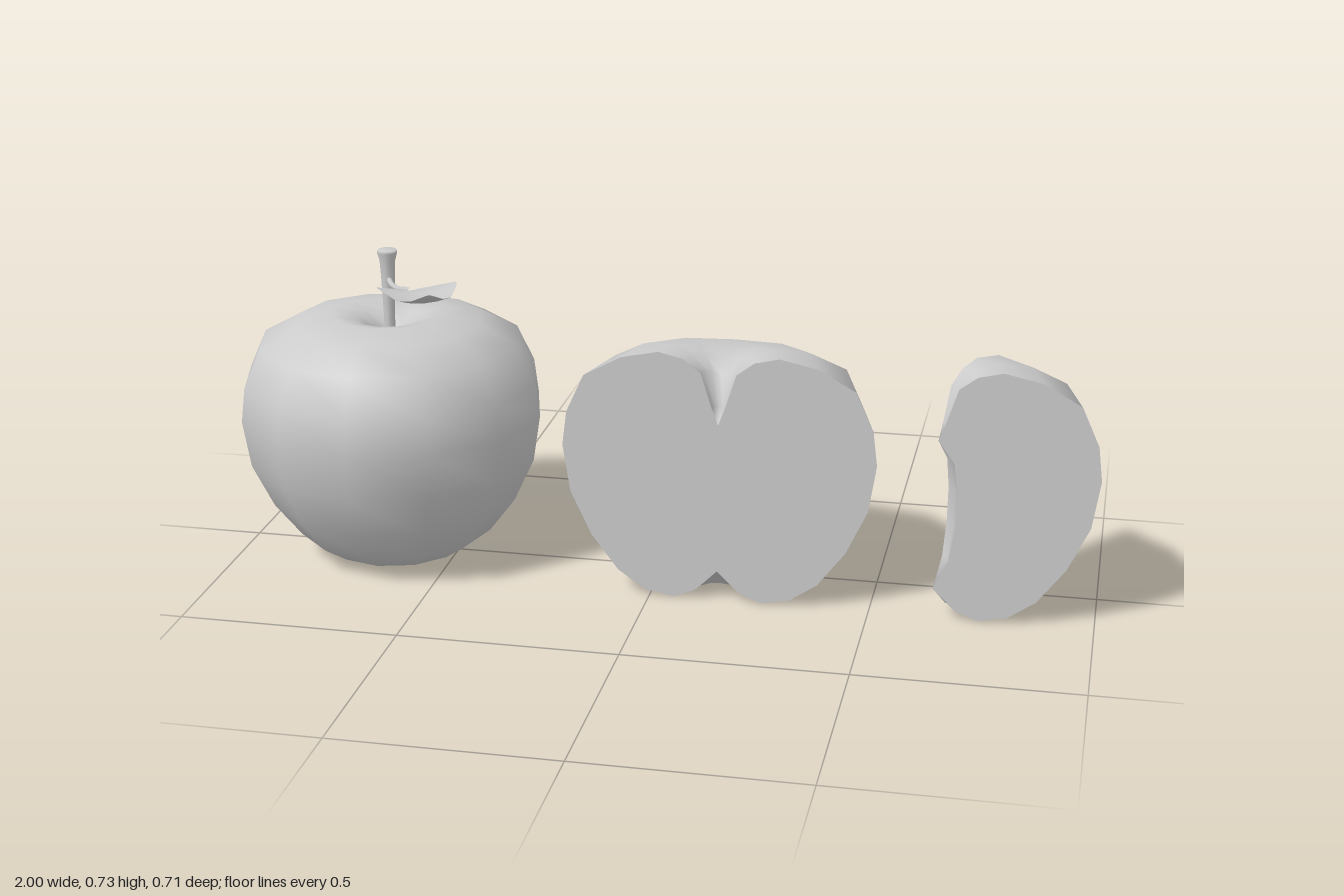
import * as THREE from 'three';
import { mergeVertices } from 'three/addons/utils/BufferGeometryUtils.js';

const grey = new THREE.MeshStandardMaterial({ color: 0xcccccc });
const thin = new THREE.MeshStandardMaterial({ color: 0xcccccc, side: THREE.DoubleSide });

// Apple outline [radius, height], from the bottom dimple round to the stem cavity
const outline = [
  [0, 0.07], [0.05, 0.02], [0.1, 0], [0.165, 0.012], [0.228, 0.055], [0.29, 0.137],
  [0.338, 0.24], [0.355, 0.35], [0.345, 0.43], [0.305, 0.518], [0.22, 0.565],
  [0.135, 0.583], [0.08, 0.57], [0.04, 0.54], [0.015, 0.46], [0, 0.42],
];
// Scooped-out core of the slice, from the cavity back down to the dimple
const core = [[0.036, 0.37], [0.046, 0.3], [0.044, 0.22], [0.032, 0.14], [0, 0.07]];

const toPoints = (list) => list.map(([r, y]) => new THREE.Vector2(r, y));

// Lowers the rim of the top toward the back
function dipRim(geo, depth) {
  const p = geo.attributes.position;
  for (let i = 0; i < p.count; i++) {
    const x = p.getX(i), y = p.getY(i), z = p.getZ(i);
    const r = Math.hypot(x, z);
    if (y < 0.5 || r < 0.001 || z > 0) continue;
    const onRim = Math.max(0, 1 - Math.abs(r - 0.13) / 0.17);
    p.setY(i, y - depth * onRim * Math.pow(z / r, 4));
  }
  geo.computeVertexNormals();
  return geo;
}

// Smooth skin swept round the axis
function skin(list, segments, start, sweep, depth) {
  const geo = new THREE.LatheGeometry(toPoints(list), segments, start, sweep);
  geo.deleteAttribute('uv');
  geo.deleteAttribute('normal');
  return dipRim(mergeVertices(geo, 1e-4), depth);
}

// Flat cut face at one end of the sweep
function cutFace(list, angle, flip, depth) {
  const geo = new THREE.ShapeGeometry(new THREE.Shape(toPoints(list)));
  if (flip) geo.setIndex(Array.from(geo.index.array).reverse());
  geo.rotateY(angle - Math.PI / 2);
  return dipRim(geo, depth);
}

function addMesh(parent, name, geo, material = grey) {
  const mesh = new THREE.Mesh(geo, material);
  mesh.name = name;
  parent.add(mesh);
  return mesh;
}

function cutApple(name, list, segments, sweep, depth) {
  const group = new THREE.Group();
  group.name = name;
  const start = Math.PI / 2;
  addMesh(group, name + 'Skin', skin(list, segments, start, sweep, depth));
  addMesh(group, name + 'CutFaceA', cutFace(list, start, false, depth));
  addMesh(group, name + 'CutFaceB', cutFace(list, start + sweep, true, depth));
  return group;
}

// Leaf from cross-sections along its midrib: [x, y, z, half width]
function leafGeometry() {
  const ribs = [
    [-0.565, 0.668, 0.1, 0.015], [-0.55, 0.676, 0.125, 0.06], [-0.53, 0.69, 0.17, 0.09],
    [-0.51, 0.698, 0.215, 0.085], [-0.485, 0.69, 0.26, 0.06], [-0.465, 0.705, 0.3, 0.035],
    [-0.45, 0.733, 0.336, 0.002],
  ];
  const across = [-1, -0.5, 0, 0.5, 1];
  const pos = [], index = [];
  ribs.forEach(([x, y, z, w], i) => {
    across.forEach((t, j) => {
      pos.push(x + 0.9 * w * t, y + 0.16 * w * t * t, z - 0.44 * w * t);
      if (i && j) {
        const d = i * 5 + j, c = d - 1, b = d - 5, a = d - 6;
        index.push(a, c, b, b, c, d);
      }
    });
  });
  const geo = new THREE.BufferGeometry();
  geo.setAttribute('position', new THREE.Float32BufferAttribute(pos, 3));
  geo.setIndex(index);
  geo.computeVertexNormals();
  return geo;
}

export function createModel() {
  const model = new THREE.Group();
  model.name = 'apples';

  // Whole apple with stem and leaf
  const whole = new THREE.Group();
  whole.name = 'wholeApple';
  const body = addMesh(whole, 'wholeAppleSkin', skin(outline, 12, 0, Math.PI * 2, 0.012));
  body.position.x = -0.65;
  const stem = addMesh(whole, 'stem', new THREE.LatheGeometry(toPoints([
    [0.011, 0.41], [0.013, 0.58], [0.016, 0.67], [0.018, 0.705], [0.023, 0.725], [0.022, 0.731], [0, 0.731],
  ]), 10));
  stem.position.x = -0.65;
  const stalkPath = new THREE.CatmullRomCurve3([
    [-0.65, 0.668, 0.0], [-0.635, 0.657, 0.025], [-0.61, 0.656, 0.055], [-0.58, 0.665, 0.088], [-0.562, 0.67, 0.11],
  ].map((p) => new THREE.Vector3(...p)));
  addMesh(whole, 'leafStalk', new THREE.TubeGeometry(stalkPath, 10, 0.007, 6));
  addMesh(whole, 'leaf', leafGeometry(), thin);
  model.add(whole);

  // Half apple, cut face to the front
  const half = cutApple('halfApple', outline, 6, Math.PI, 0.03);
  half.position.set(0.155, 0, 0.172);
  model.add(half);

  // Slice with the core scooped out
  const slice = cutApple('slice', [...outline, ...core], 2, Math.PI / 3, 0.012);
  slice.position.set(0.642, 0, 0.172);
  model.add(slice);

  return model;
}
